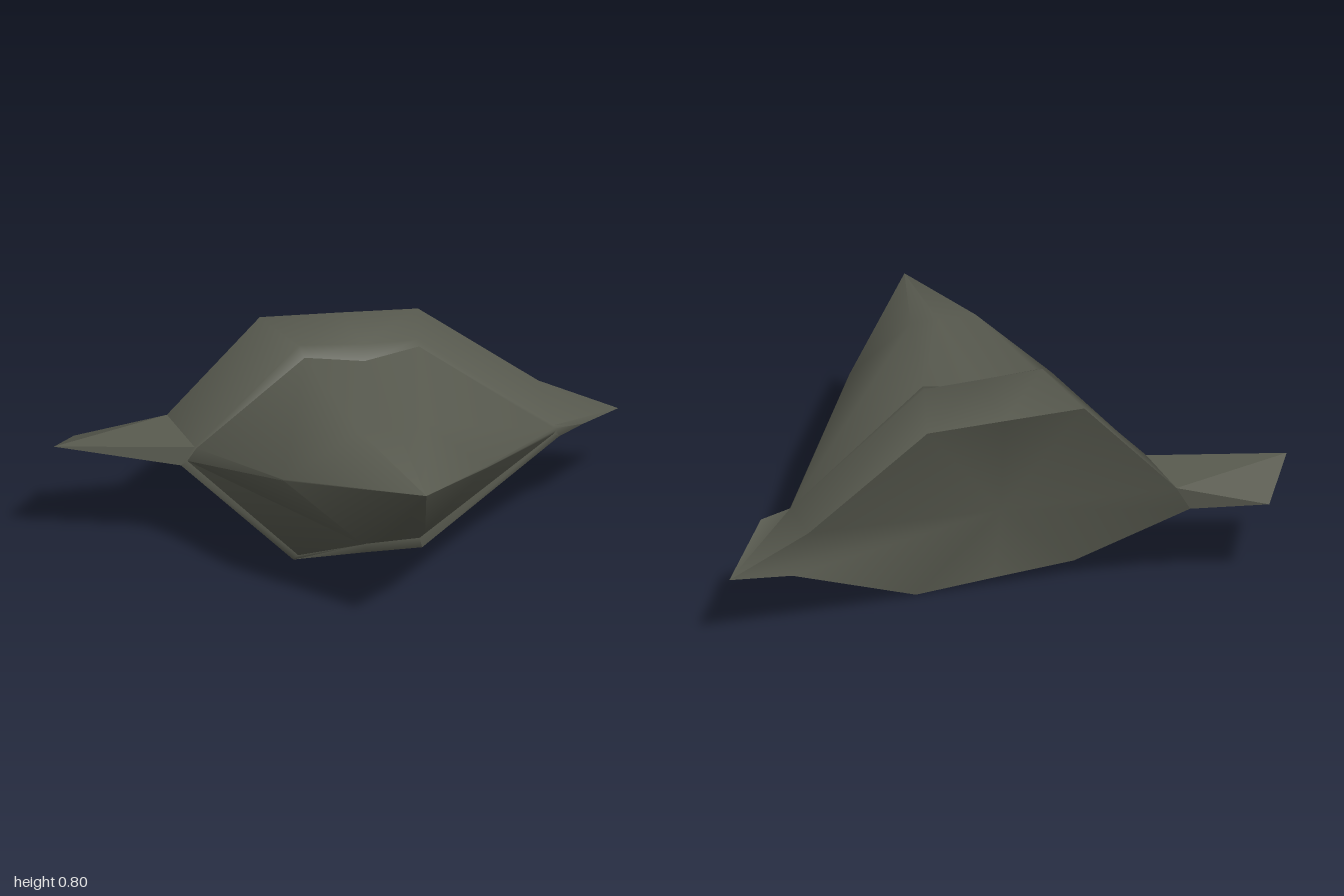
import * as THREE from 'three';
import { toCreasedNormals } from 'three/addons/utils/BufferGeometryUtils.js';
import { ConvexGeometry } from 'three/addons/geometries/ConvexGeometry.js';

const hullGrey = new THREE.MeshStandardMaterial({ color: 0x595b50 });
hullGrey.name = 'hullGrey';

// Skins cross-sections listed front to rear, each counter-clockwise seen from the front.
// A section with a single point closes the shape to a tip or a fan.
function loft(sections, crease) {
  const out = [];
  const n = Math.max(...sections.map((s) => s.length));
  for (let i = 0; i < sections.length - 1; i++) {
    const at = (s, j) => s[j % s.length];
    for (let j = 0; j < n; j++) {
      const a = at(sections[i], j), b = at(sections[i + 1], j);
      const c = at(sections[i + 1], j + 1), d = at(sections[i], j + 1);
      if (b !== c) out.push(...b, ...c, ...d);
      if (a !== d) out.push(...a, ...b, ...d);
    }
  }
  const g = new THREE.BufferGeometry();
  g.setAttribute('position', new THREE.Float32BufferAttribute(out, 3));
  g.computeVertexNormals();
  return toCreasedNormals(g, crease);
}

// Section order: right low, right tip, right shoulder, top right, top, top left,
// left high, left low, bottom left, bottom, bottom right.
const nose = [[0.03, 0.695, 0.67]];
const middle = [
  [0.34, 0.558, 0.26], [0.342, 0.562, 0.26], [0.34, 0.566, 0.26],
  [0.13, 0.74, 0.24], [0.03, 0.735, 0.25], [-0.1, 0.74, 0.24],
  [-0.34, 0.535, 0.135], [-0.34, 0.53, 0.135],
  [-0.1, 0.335, 0.29], [0.02, 0.36, 0.29], [0.12, 0.35, 0.28],
];
const base = [
  [0.71, 0.365, -0.3], [0.72, 0.375, -0.305], [0.71, 0.385, -0.3],
  [0.23, 0.775, -0.265], [0.04, 0.742, -0.265], [-0.17, 0.78, -0.265],
  [-0.53, 0.437, -0.345], [-0.56, 0.39, -0.35],
  [-0.235, 0.12, -0.09], [0, 0.135, -0.09], [0.19, 0.135, -0.09],
];
const bandFront = [
  [0.73, 0.35, -0.305], [0.82, 0.378, -0.325], [0.71, 0.395, -0.305],
  [0.235, 0.783, -0.3], [0.04, 0.79, -0.3], [-0.18, 0.805, -0.31],
  [-0.535, 0.44, -0.35], [-0.58, 0.37, -0.36],
  [-0.25, 0.1, -0.1], [0, 0.1, -0.095], [0.2, 0.095, -0.095],
];
const bandRear = [
  [0.77, 0.265, -0.54], [1, 0.295, -0.565], [0.72, 0.435, -0.565],
  [0.3, 0.76, -0.568], [0.03, 0.773, -0.577], [-0.25, 0.785, -0.585],
  [-0.57, 0.44, -0.605], [-0.62, 0.35, -0.6],
  [-0.28, 0.07, -0.35], [0, 0.037, -0.335], [0.27, 0.003, -0.32],
];
// Deepest point of the hollow rear
const rearHollow = [[-0.02, 0.31, -0.36]];

// Corners of the fin on the model's right side
const finCorners = [
  [-0.57, 0.44, -0.605], [-0.62, 0.35, -0.6], [-0.88, 0.365, -0.67],
  [-1, 0.44, -0.465], [-0.53, 0.44, -0.35], [-0.58, 0.37, -0.36],
];

export function createModel() {
  const model = new THREE.Group();
  const add = (name, geometry) => {
    const mesh = new THREE.Mesh(geometry, hullGrey);
    mesh.name = name;
    model.add(mesh);
  };
  add('pointedBody', loft([nose, middle, base], 1.1));
  add('rearBand', loft([base, bandFront, bandRear], 1.2));
  add('rearPanel', loft([bandRear, rearHollow], 1.2));
  add('rightFin', new ConvexGeometry(finCorners.map((p) => new THREE.Vector3(...p))));
  return model;
}
